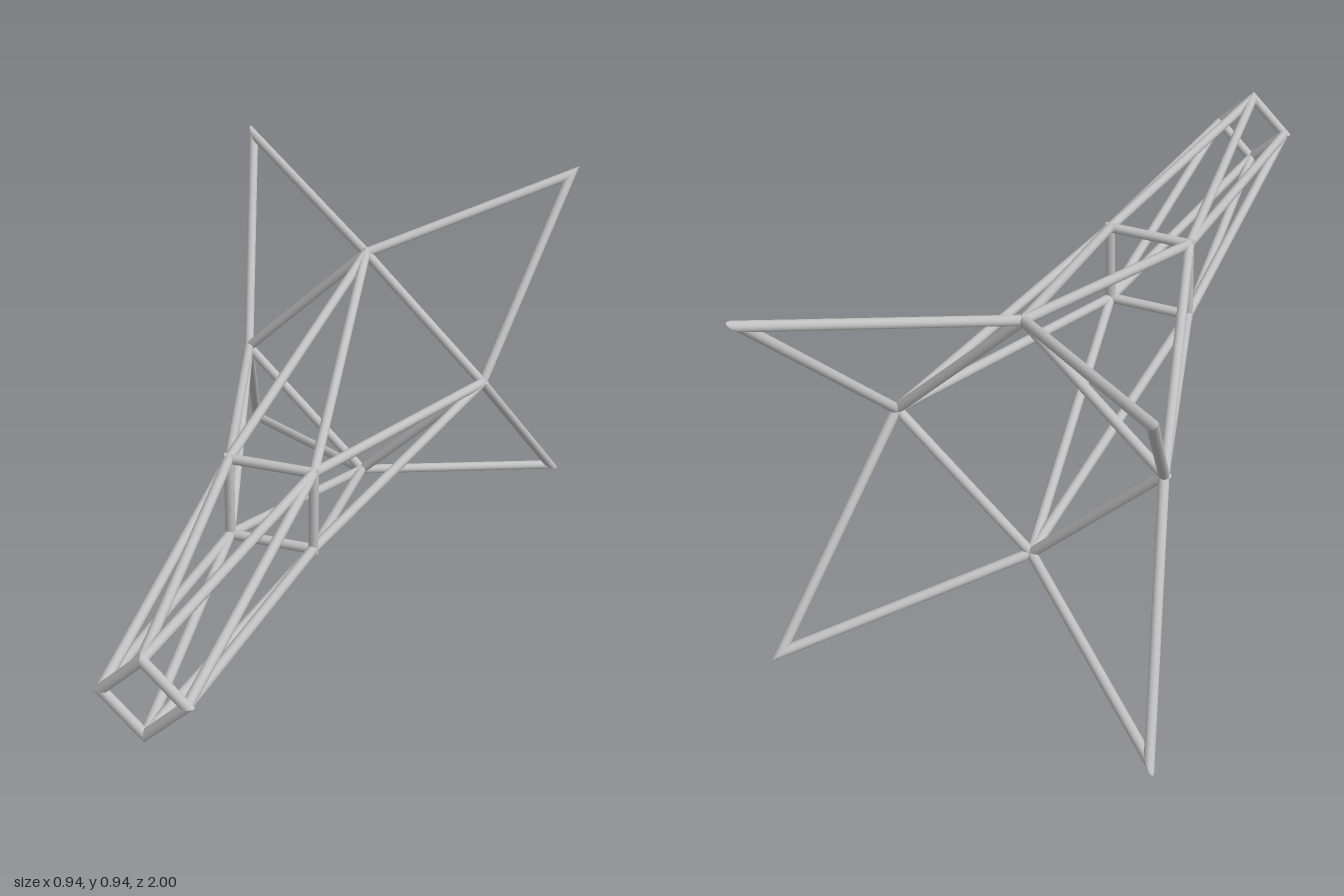
import * as THREE from 'three';

const RADIUS = 0.0125;
const SIDES = 12;

// Four points around the z axis, starting at angle a0, at distance r
function ring(r, z, a0) {
  return [0, 1, 2, 3].map((i) => {
    const a = a0 + (i * Math.PI) / 2;
    return new THREE.Vector3(Math.cos(a) * r, Math.sin(a) * r, z);
  });
}

// Round bar from a to b; mitred ends are cut on the plane through the node and the z axis
function strut(a, b, material, name, mitre) {
  const dir = b.clone().sub(a);
  const length = dir.length();
  dir.normalize();
  const geo = new THREE.CylinderGeometry(RADIUS, RADIUS, length, SIDES);
  geo.applyQuaternion(new THREE.Quaternion().setFromUnitVectors(new THREE.Vector3(0, 1, 0), dir));
  const mid = a.clone().add(b).multiplyScalar(0.5);
  geo.translate(mid.x, mid.y, mid.z);
  if (mitre) {
    const pos = geo.attributes.position;
    const v = new THREE.Vector3();
    for (let i = 0; i < pos.count; i++) {
      v.fromBufferAttribute(pos, i);
      const node = v.distanceTo(a) < v.distanceTo(b) ? a : b;
      const n = new THREE.Vector3(-node.y, node.x, 0).normalize();
      v.addScaledVector(dir, -v.clone().sub(node).dot(n) / dir.dot(n));
      pos.setXYZ(i, v.x, v.y, v.z);
    }
  }
  const mesh = new THREE.Mesh(geo, material);
  mesh.name = name;
  return mesh;
}

export function createModel() {
  const group = new THREE.Group();
  group.name = 'strutFrame';
  const metal = new THREE.MeshStandardMaterial({ color: 0xc0c0c0 });
  metal.name = 'light grey metal';

  const front = ring(0.096, 0.987, 0);
  const middle = ring(0.106 * Math.SQRT2, 0.18, Math.PI / 4);
  const rear = ring(0.328, -0.577, 0);
  const tips = ring(0.451 * Math.SQRT2, -0.976, Math.PI / 4);

  for (let i = 0; i < 4; i++) {
    const j = (i + 1) % 4;
    // Closed rings
    group.add(strut(front[i], front[j], metal, 'frontDiamondBar', true));
    group.add(strut(middle[i], middle[j], metal, 'middleSquareBar', true));
    group.add(strut(rear[i], rear[j], metal, 'rearDiamondBar', true));
    // Each middle corner and fin tip lies between nodes i and j
    for (const k of [i, j]) {
      group.add(strut(front[k], middle[i], metal, 'noseBar', false));
      group.add(strut(middle[i], rear[k], metal, 'bodyBar', false));
      group.add(strut(rear[k], tips[i], metal, 'finBar', true));
    }
  }

  // Rounded joints
  for (const p of [...front, ...middle, ...rear]) {
    const joint = new THREE.Mesh(new THREE.SphereGeometry(RADIUS, 12, 8), metal);
    joint.position.copy(p);
    joint.name = 'joint';
    group.add(joint);
  }

  // Stand the frame on the ground and centre it
  const box = new THREE.Box3().setFromObject(group, true);
  const shift = new THREE.Vector3(0, -box.min.y, -(box.min.z + box.max.z) / 2);
  group.children.forEach((m) => m.position.add(shift));
  return group;
}
